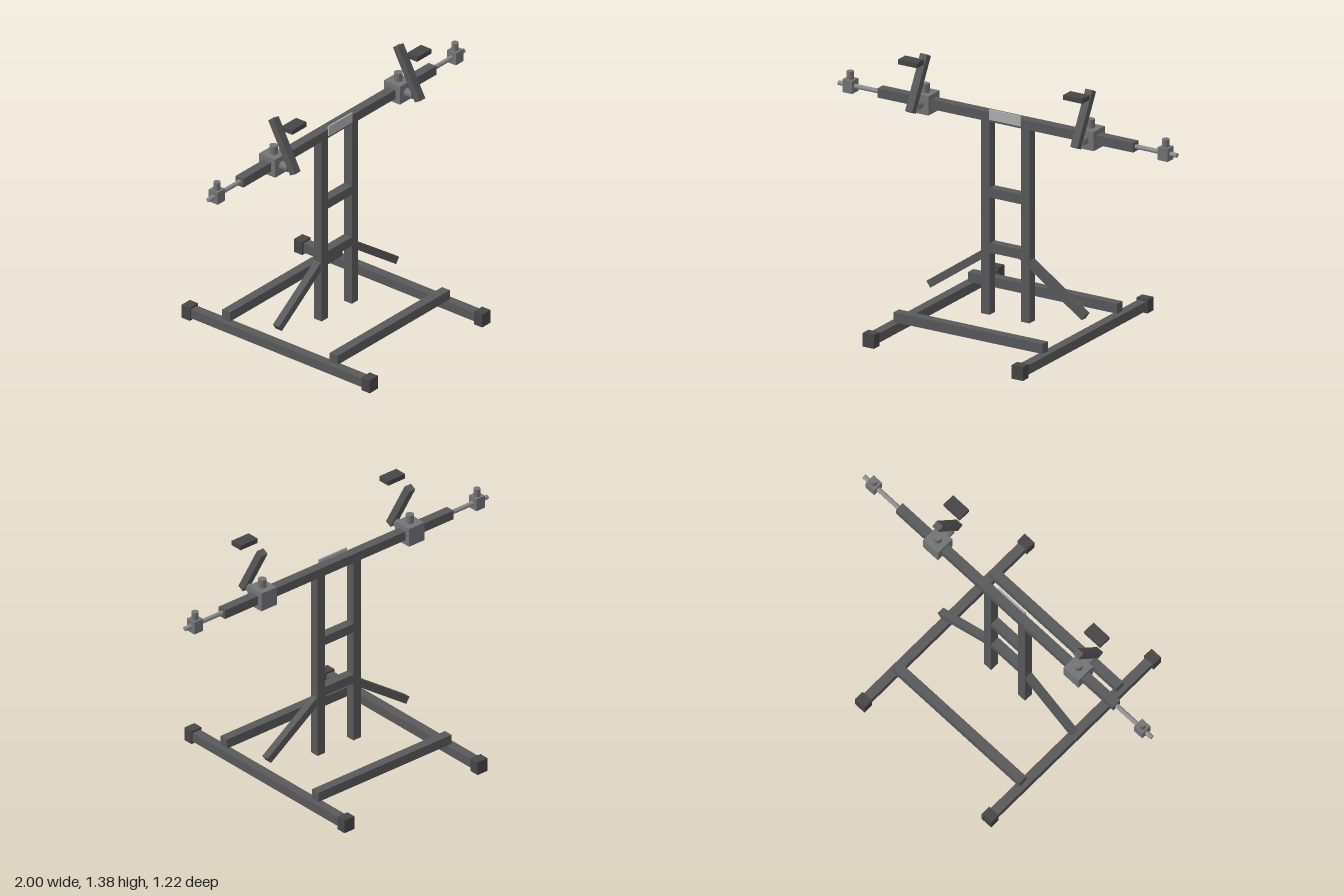
import * as THREE from 'three';

const mat = (color) => new THREE.MeshStandardMaterial({ color });

export function createModel() {
  const group = new THREE.Group();
  const frame = mat(0x58595a), cap = mat(0x464647), fitting = mat(0x737475);
  const rodGrey = mat(0x8c8d8e), plateGrey = mat(0xb0b0b0);

  const add = (name, geometry, material, x, y, z) => {
    const mesh = new THREE.Mesh(geometry, material);
    mesh.name = name;
    mesh.position.set(x, y, z);
    group.add(mesh);
    return mesh;
  };
  const box = (name, m, w, h, d, x, y, z) => add(name, new THREE.BoxGeometry(w, h, d), m, x, y, z);
  const rod = (name, m, r, len, x, y, z) => add(name, new THREE.CylinderGeometry(r, r, len, 20), m, x, y, z);

  const beamY = 1.114;

  // Horizontal beam and front plate
  box('beam', frame, 1.51, 0.05, 0.05, 0, beamY, 0);
  box('frontPlate', plateGrey, 0.187, 0.055, 0.008, 0, 1.129, 0.027);

  // Rungs between the uprights
  box('upperRung', frame, 0.187, 0.05, 0.05, 0, 0.711, 0);
  box('lowerRung', frame, 0.187, 0.05, 0.05, 0, 0.418, 0);

  // Base cross bars, front and back
  for (const s of [1, -1]) box('baseCrossBar', frame, 0.88, 0.052, 0.05, 0, 0.09, s * 0.349);

  for (const s of [1, -1]) {
    // Base rail with square end caps
    box('baseRail', frame, 0.05, 0.05, 1.12, s * 0.44, 0.037, 0);
    for (const e of [1, -1]) box('railEndCap', cap, 0.066, 0.073, 0.054, s * 0.44, 0.0365, e * 0.584);

    // Upright and diagonal brace
    box('upright', frame, 0.049, 1.03, 0.05, s * 0.118, 0.577, 0);
    box('brace', frame, 0.447, 0.04, 0.04, s * 0.275, 0.28, 0).rotation.z = -s * 0.608;

    // Sliding sleeve with top and front knobs
    const sx = s * 0.488;
    box('sleeve', fitting, 0.102, 0.102, 0.105, sx, beamY, 0);
    rod('sleeveTopKnob', fitting, 0.022, 0.05, sx, 1.185, 0);
    rod('sleeveFrontKnob', fitting, 0.022, 0.05, sx, beamY, 0.074).rotation.x = Math.PI / 2;

    // Tilted arm and support pad
    box('supportArm', frame, 0.042, 0.3, 0.038, sx, 1.23, 0.07).rotation.x = -0.494;
    box('supportPad', cap, 0.112, 0.026, 0.068, sx, 1.364, 0.134);

    // Thin end rod with locking collar
    rod('endRod', rodGrey, 0.012, 0.26, s * 0.87, beamY, 0).rotation.z = Math.PI / 2;
    box('endCollar', fitting, 0.058, 0.068, 0.058, s * 0.932, beamY, 0);
    rod('endCollarKnob', fitting, 0.018, 0.045, s * 0.932, 1.167, 0);
  }
  return group;
}
